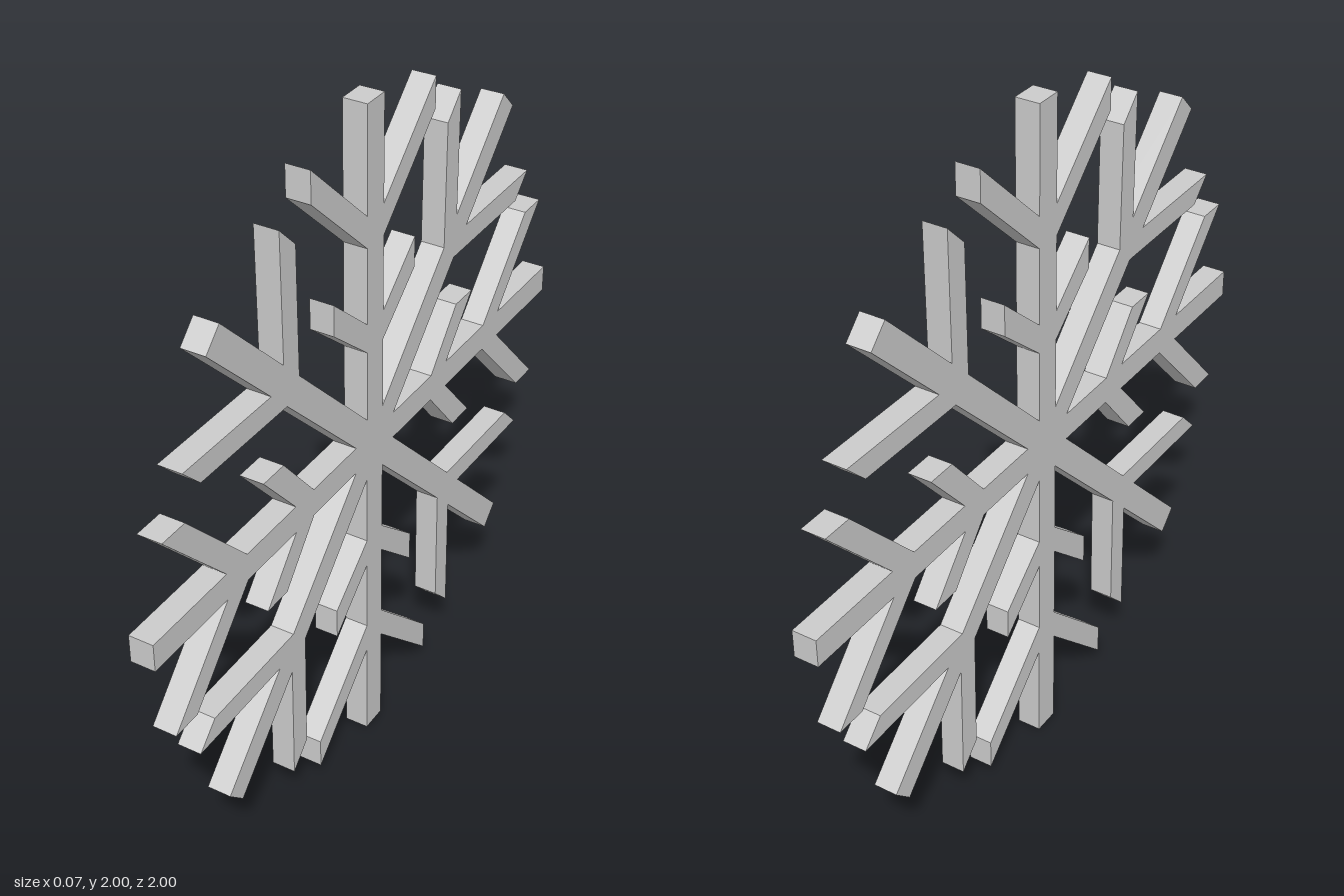
import * as THREE from 'three';

const THICKNESS = 0.07;
const HALF = 0.04; // half width of every arm
const NOTCH = HALF / Math.tan(Math.PI / 8); // where neighbouring arms meet

// A side branch: [across, along] corners, from the lower join round to the upper join
const branch = (low, high, reach, tipLow, tipHigh) => [
  [HALF, low], [reach, tipLow], [reach, tipHigh], [HALF, high],
];

// One half of an arm's outline, from the notch to the tip
const mainArm = [
  [HALF, NOTCH],
  ...branch(0.305, 0.39, 0.2, 0.44, 0.53),
  ...branch(0.61, 0.70, 0.295, 0.85, 0.94),
  [HALF, 1],
];
const diagonalArm = [
  [HALF, NOTCH],
  ...branch(0.55, 0.645, 0.295, 0.81, 0.905),
  [HALF, 1],
];

export function createModel() {
  const group = new THREE.Group();
  group.name = 'snowflake';

  // Eight mirrored arms, main and diagonal in turn, joined in one counter-clockwise outline
  const outline = [];
  for (let i = 0; i < 8; i++) {
    const half = i % 2 ? diagonalArm : mainArm;
    const mirrored = half.map(([across, along]) => [-across, along]).reverse();
    // each arm's last notch point is the next arm's first
    for (const [across, along] of [...half, ...mirrored.slice(0, -1)]) {
      outline.push(new THREE.Vector2(across, along)
        .rotateAround(new THREE.Vector2(), i * Math.PI / 4));
    }
  }

  // Flat plate standing upright, facing sideways
  const geometry = new THREE.ExtrudeGeometry(new THREE.Shape(outline), {
    depth: THICKNESS, bevelEnabled: false,
  });
  geometry.translate(0, 0, -THICKNESS / 2);
  geometry.rotateY(Math.PI / 2);
  geometry.translate(0, 1, 0);

  const material = new THREE.MeshStandardMaterial({ color: 0xcccccc, flatShading: true });
  const plate = new THREE.Mesh(geometry, material);
  plate.name = 'snowflakePlate';
  group.add(plate);
  return group;
}
